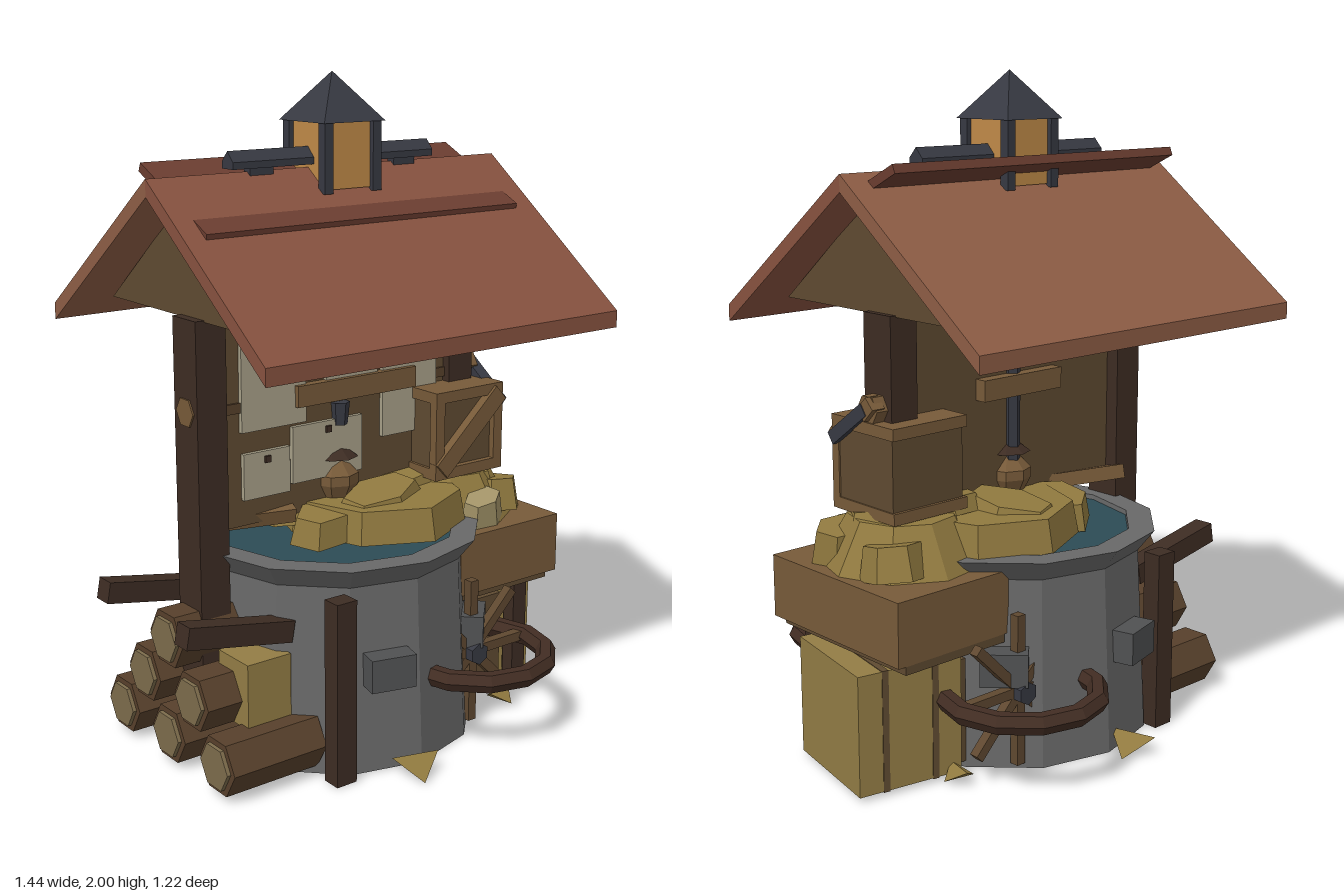
import * as THREE from 'three';

const C = {
  roof: 0x87523f, roofBack: 0x8d5d45, plank: 0x6b3d30, dark: 0x3d2c23, board: 0x5f4a31, wood: 0x775a39, log: 0x57402b,
  end: 0x7d6c4c, stone: 0x686868, block: 0x505152, metal: 0x373942, amber: 0xc08a48, hay: 0x90793f,
  bale: 0x937d45, pale: 0xa39468, paper: 0xa8a088, water: 0x2c4b55, wheel: 0x422d23, spoke: 0x5f4830,
};
const mats = {};
const mat = (c) => (mats[c] ??= new THREE.MeshStandardMaterial({ color: C[c], flatShading: true, side: THREE.DoubleSide }));

export function createModel() {
  const root = new THREE.Group();

  const add = (name, geo, color, x = 0, y = 0, z = 0, rx = 0, ry = 0, rz = 0) => {
    const m = new THREE.Mesh(geo, mat(color));
    m.name = name;
    m.position.set(x, y, z);
    m.rotation.set(rx, ry, rz);
    root.add(m);
    return m;
  };
  // Box given by its extents
  const box = (name, color, x0, x1, y0, y1, z0, z1) =>
    add(name, new THREE.BoxGeometry(x1 - x0, y1 - y0, z1 - z0), color, (x0 + x1) / 2, (y0 + y1) / 2, (z0 + z1) / 2);
  // Square bar between two points
  const bar = (name, color, a, b, w, d = w) => {
    const p = new THREE.Vector3(...a), q = new THREE.Vector3(...b);
    const m = add(name, new THREE.BoxGeometry(w, p.distanceTo(q), d), color);
    m.position.copy(p).lerp(q, 0.5);
    m.quaternion.setFromUnitVectors(new THREE.Vector3(0, 1, 0), q.sub(p).normalize());
  };
  // Profile in (z, y) stretched along x
  const alongX = (name, color, pts, x0, x1) => {
    const shape = new THREE.Shape(pts.map(([z, y]) => new THREE.Vector2(-z, y)));
    const geo = new THREE.ExtrudeGeometry(shape, { depth: x1 - x0, bevelEnabled: false });
    add(name, geo.rotateY(Math.PI / 2), color, x0);
  };
  // Flat angular bundle, slightly tilted
  const clump = (x, y, z, sx, sy, sz, ry = 0, tilt = 0, color = 'hay') =>
    add('hayClump', new THREE.CylinderGeometry(0.82, 1, 2, 6).scale(sx, sy, sz), color, x, y, z, tilt, ry, tilt);

  const CX = -0.03;

  // Stone tub with flared rim and water
  const tub = [[0, 0], [0.44, 0], [0.41, 0.57], [0.46, 0.635], [0.38, 0.635], [0.37, 0.52]];
  add('tub', new THREE.LatheGeometry(tub.map((p) => new THREE.Vector2(...p)), 12), 'stone', CX);
  add('water', new THREE.CircleGeometry(0.38, 12), 'water', CX, 0.62, 0, -Math.PI / 2);

  // Roof slopes, gables and the plank that cuts through the ridge
  for (const [s, color] of [[1, 'roof'], [-1, 'roofBack']])
    alongX('roofSlope', color, [[0, 1.73], [s * 0.56, 1.31], [s * 0.56, 1.26], [0, 1.68]], -0.66, 0.6);
  for (const x of [-0.52, 0.42]) alongX('gable', 'board', [[0.45, 1.33], [0, 1.69], [-0.45, 1.33]], x, x + 0.04);
  alongX('ridgePlank', 'plank', [[0.195, 1.57], [0.2, 1.597], [-0.135, 1.76], [-0.145, 1.735]], -0.595, 0.525);

  // Ridge bar with low brackets
  alongX('ridgeBar', 'metal', [[0.028, 1.74], [0.028, 1.76], [0, 1.79], [-0.028, 1.76], [-0.028, 1.74]], -0.395, 0.33);
  for (const s of [-1, 1]) box('ridgeBracket', 'metal', CX + s * 0.26 - 0.04, CX + s * 0.26 + 0.04, 1.715, 1.742, -0.015, 0.015);

  // Lantern cupola and the hanging lanterns
  const lantern = (x, y, w, h, roofH) => {
    const half = w / 2, t = w * 0.15;
    box('lanternGlass', 'amber', x - half + t / 2, x + half - t / 2, y, y + h, -half + t / 2, half - t / 2);
    for (const sx of [-1, 1]) for (const sz of [-1, 1]) {
      const px = x + sx * (half - t / 2), pz = sz * (half - t / 2);
      box('lanternPost', 'metal', px - t / 2, px + t / 2, y - 0.01, y + h, pz - t / 2, pz + t / 2);
    }
    add('lanternRoof', new THREE.ConeGeometry((half + 0.008) * Math.SQRT2, roofH, 4), 'metal', x, y + h + roofH / 2, 0, 0, Math.PI / 4);
  };
  lantern(CX, 1.67, 0.205, 0.19, 0.14);
  for (const x of [CX - 0.32, CX + 0.32]) {
    lantern(x, 1.38, 0.15, 0.15, 0.09);
    box('lanternBase', 'metal', x - 0.08, x + 0.08, 1.355, 1.38, -0.08, 0.08);
  }

  // Central shaft with its pan and hub
  add('shaft', new THREE.CylinderGeometry(0.028, 0.028, 0.76, 6), 'metal', CX, 1.2, -0.01);
  add('shaftPan', new THREE.CylinderGeometry(0.15, 0.06, 0.09, 4), 'metal', CX, 1.55, 0, 0, Math.PI / 4);
  add('shaftCollar', new THREE.CylinderGeometry(0.032, 0.025, 0.07, 6), 'metal', CX, 0.99, 0.035);
  add('shaftRing', new THREE.CylinderGeometry(0.035, 0.073, 0.028, 8), 'dark', CX, 0.865, 0.01);
  const hub = [[0.05, 0.72], [0.075, 0.77], [0.075, 0.8], [0.035, 0.84], [0, 0.845]];
  add('shaftHub', new THREE.LatheGeometry(hub.map((p) => new THREE.Vector2(...p)), 8), 'wood', CX, 0, 0.01);

  // Uprights, notice board, rail and ledges
  box('rightUpright', 'dark', -0.55, -0.45, 0.03, 1.335, -0.06, 0.06);
  box('leftUpright', 'dark', 0.385, 0.48, 0.03, 1.335, -0.06, 0.06);
  box('noticeBoard', 'board', -0.47, 0.42, 0.7, 1.335, -0.015, 0.03);
  box('rail', 'log', -0.54, 0.5, 1.045, 1.075, 0.02, 0.038);
  for (const x of [-0.53, 0.495]) add('railEnd', new THREE.CylinderGeometry(0.045, 0.045, 0.05, 6), 'wood', x, 1.065, 0, 0, 0, Math.PI / 2);
  box('frontLedge', 'wood', -0.2, 0.25, 1.035, 1.1, 0.03, 0.06);
  box('backLedge', 'wood', -0.2, 0.12, 1.035, 1.1, -0.055, -0.015);

  // Pinned paper sheets
  const sheets = [[-0.39, -0.16, 0.985, 1.26], [-0.085, 0.11, 1.1, 1.3], [0.13, 0.345, 0.89, 1.19], [-0.21, 0.05, 0.8, 0.975], [-0.385, -0.22, 0.78, 0.92]];
  for (const [x0, x1, y0, y1] of sheets) {
    const px = (x0 + x1) / 2;
    box('paperSheet', 'paper', x0, x1, y0, y1, 0.03, 0.044);
    box('pin', 'dark', px - 0.01, px + 0.01, y1 - 0.035, y1 - 0.015, 0.04, 0.052);
  }

  // Crate with frame, brace and a leaning rod
  box('crate', 'board', 0.26, 0.52, 0.76, 1.02, -0.11, 0.14);
  for (const x of [0.25, 0.49]) box('crateStile', 'wood', x, x + 0.035, 0.75, 1.03, 0.13, 0.16);
  for (const y of [0.75, 0.995]) box('crateRail', 'wood', 0.25, 0.525, y, y + 0.035, -0.12, 0.16);
  bar('crateBrace', 'wood', [0.27, 0.78, 0.15], [0.51, 1.0, 0.15], 0.06, 0.04);
  bar('rod', 'metal', [0.52, 0.96, 0.15], [0.52, 1.07, -0.005], 0.04);
  bar('rodTip', 'wood', [0.515, 1.05, 0.01], [0.515, 1.09, -0.03], 0.045);

  // Trough with hay heaped over it and across the tub
  box('trough', 'wood', 0.245, 0.655, 0.41, 0.6, -0.29, 0.29);
  box('troughBase', 'board', 0.26, 0.63, 0.385, 0.41, -0.29, 0.27);
  add('hayMound', new THREE.CylinderGeometry(0.65, 1, 1, 9).scale(0.24, 0.15, 0.25), 'hay', 0.4, 0.67, 0, 0, 0.2);
  add('haySlab', new THREE.CylinderGeometry(0.94, 1, 1, 8).scale(0.29, 0.1, 0.33), 'hay', 0.11, 0.68, -0.005);
  const clumps = [
    [-0.12, 0.68, 0.09, 0.15, 0.04, 0.1, 0.4, 0.06], [-0.13, 0.68, -0.11, 0.14, 0.04, 0.11, 1.1, -0.06],
    [0.06, 0.73, 0.12, 0.17, 0.025, 0.1, 0.2, 0.1], [0.1, 0.73, -0.14, 0.16, 0.025, 0.11, 2, -0.08],
    [0.25, 0.745, 0, 0.14, 0.025, 0.13, 0.7, 0.07], [0.45, 0.735, 0.03, 0.15, 0.025, 0.11, 1.5, 0.1],
    [0.53, 0.65, -0.12, 0.1, 0.05, 0.1, 0.9, 0.1], [0.53, 0.655, 0.12, 0.1, 0.05, 0.09, 0.3, -0.1],
  ];
  for (const c of clumps) clump(...c);
  clump(0.4, 0.645, 0.21, 0.09, 0.045, 0.06, 0.3, 0.15, 'pale');
  bar('loosePlank', 'wood', [-0.47, 0.715, -0.05], [-0.2, 0.715, 0.02], 0.045, 0.08);

  // Hay bale with straps, and its side box
  const bale = new THREE.Group();
  bale.name = 'bale';
  const balePart = (w, h, d, x, color) => {
    const m = new THREE.Mesh(new THREE.BoxGeometry(w, h, d), mat(color));
    m.position.x = x;
    bale.add(m);
  };
  balePart(0.33, 0.36, 0.37, 0, 'bale');
  for (const x of [-0.08, 0.08]) balePart(0.02, 0.364, 0.374, x, 'board');
  bale.position.set(0.523, 0.195, -0.04);
  bale.rotation.y = -0.19;
  root.add(bale);
  box('sideBox', 'board', 0.35, 0.5, 0.02, 0.34, -0.22, 0.2);
  box('balePost', 'dark', 0.55, 0.605, 0, 0.38, 0.165, 0.21);

  // Log pile, stacked three, two, one
  for (let row = 0; row < 3; row++) for (let i = 0; i < 3 - row; i++) {
    const z = (i - (2 - row) / 2) * 0.26, y = 0.1 + row * 0.15, x = -0.475;
    add('log', new THREE.CylinderGeometry(0.09, 0.09, 0.32, 6), 'log', x, y, z, 0, 0, Math.PI / 2);
    add('logEnd', new THREE.CylinderGeometry(0.07, 0.07, 0.02, 6), 'end', x - 0.162, y, z, 0, 0, Math.PI / 2);
  }
  box('hayBlock', 'bale', -0.52, -0.37, 0.17, 0.37, 0.1, 0.25);

  // Parts that repeat on the front and back of the tub
  for (const s of [1, -1]) {
    box('tubPost', 'dark', -0.33, -0.26, 0, 0.56, s * 0.39 - 0.03, s * 0.39 + 0.03);
    bar('leaningPlank', 'dark', [-0.715, 0.5, s * 0.22], [-0.36, 0.435, s * 0.22], 0.065);
    for (const a of [-Math.PI / 12, Math.PI / 4])
      add('tubBlock', new THREE.BoxGeometry(0.14, 0.1, 0.1), 'block', CX + Math.sin(a) * 0.425, 0.32, s * Math.cos(a) * 0.425, 0, s * a);
    // Flat hoop, hub and radiating spokes
    const hoop = new THREE.TorusGeometry(0.226, 0.032, 6, 12).rotateX(Math.PI / 2).rotateY(Math.PI / 2);
    add('hoop', hoop, 'wheel', 0.25, 0.247, s * 0.352);
    add('spokeHub', new THREE.CylinderGeometry(0.035, 0.035, 0.08, 6), 'metal', 0.25, 0.25, s * 0.34, Math.PI / 2);
    for (let i = 0; i < 4; i++) add('spoke', new THREE.BoxGeometry(0.03, 0.46, 0.03), 'spoke', 0.25, 0.25, s * 0.335, 0, 0, (i * Math.PI) / 4);
    // Loose straw wedges at the base
    add('strawWedge', new THREE.TetrahedronGeometry(1).scale(0.09, 0.05, 0.09), 'hay', -0.09, 0.03, s * 0.48, 0, s * 0.5);
    add('strawWedge', new THREE.TetrahedronGeometry(1).scale(0.06, 0.03, 0.06), 'hay', 0.43, 0.03, s * 0.28, 0, s);
  }
  return root;
}
